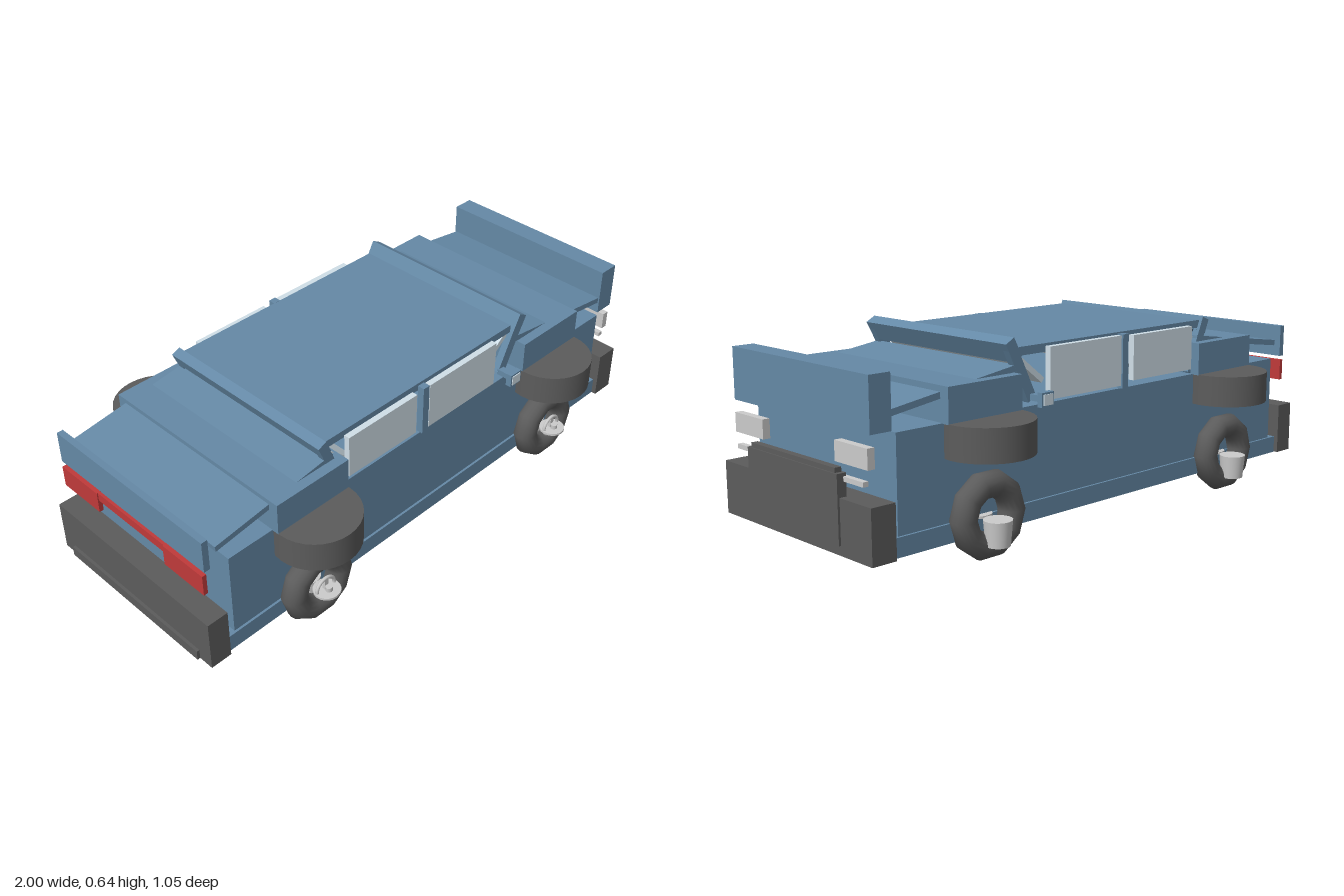
import * as THREE from 'three';

const mat = (color) => new THREE.MeshStandardMaterial({ color });
const blue = mat(0x6589a6), dark = mat(0x5c5c5c), grey = mat(0xcccccc), glass = mat(0xd0dfe8), red = mat(0xc03a3a);

export function createModel() {
  const car = new THREE.Group();
  car.name = 'car';

  const add = (name, geometry, material, x, y, z, parent = car) => {
    const mesh = new THREE.Mesh(geometry, material);
    mesh.name = name;
    mesh.position.set(x, y, z);
    parent.add(mesh);
    return mesh;
  };
  // box given by its limits on each axis
  const box = (name, material, [x0, x1], [y0, y1], [z0, z1], parent) =>
    add(name, new THREE.BoxGeometry(x1 - x0, y1 - y0, z1 - z0), material,
      (x0 + x1) / 2, (y0 + y1) / 2, (z0 + z1) / 2, parent);
  // sloped slab running between two points of the side profile
  const slab = (name, material, [xa, ya], [xb, yb], thick, width, z = 0) => {
    const mesh = add(name, new THREE.BoxGeometry(Math.hypot(xb - xa, yb - ya), thick, width),
      material, (xa + xb) / 2, (ya + yb) / 2, z);
    mesh.rotation.z = Math.atan2(yb - ya, xb - xa);
  };

  // lower body
  box('body', blue, [-0.88, 0.88], [0.08, 0.43], [-0.35, 0.35]);
  box('sill', blue, [-0.91, 0.91], [0.07, 0.13], [-0.358, 0.358]);

  // nose
  box('frontBumper', dark, [0.905, 0.99], [0.07, 0.24], [-0.375, 0.375]);
  box('grille', dark, [0.965, 0.997], [0.1, 0.31], [-0.23, 0.23]);
  box('grilleTop', dark, [0.97, 0.993], [0.31, 0.325], [-0.215, 0.215]);
  box('nosePanel', blue, [0.89, 0.965], [0.435, 0.602], [-0.345, 0.345]);

  // tail
  box('rearBumper', dark, [-0.99, -0.915], [0.07, 0.25], [-0.37, 0.37]);
  box('rearBumperStep', dark, [-1, -0.985], [0.07, 0.105], [-0.315, 0.315]);
  box('tailPanel', blue, [-0.965, -0.943], [0.432, 0.545], [-0.345, 0.345]);
  box('tailLightStrip', red, [-0.966, -0.956], [0.385, 0.415], [-0.18, 0.18]);

  // lids
  slab('hood', blue, [0.89, 0.485], [0.41, 0.552], 0.02, 0.68);
  slab('trunkLid', blue, [-0.915, 0.485], [-0.45, 0.55], 0.02, 0.68);

  // roof and screens
  box('roof', blue, [-0.475, 0.39], [0.585, 0.612], [-0.33, 0.33]);
  slab('windshield', glass, [0.28, 0.495], [0.395, 0.585], 0.018, 0.64);
  slab('rearWindow', glass, [-0.33, 0.445], [-0.455, 0.55], 0.018, 0.64);
  slab('windshieldHeader', blue, [0.407, 0.578], [0.439, 0.637], 0.038, 0.684);
  slab('rearHeader', blue, [-0.476, 0.572], [-0.495, 0.617], 0.034, 0.684);

  for (const s of [1, -1]) {
    const sideZ = (a, b) => (s > 0 ? [a, b] : [-b, -a]);
    // lights
    box('headlight', grey, [0.945, 0.97], [0.335, 0.397], sideZ(0.184, 0.338));
    box('foglight', grey, [0.957, 0.975], [0.285, 0.3], sideZ(0.2, 0.322));
    box('tailLight', red, [-0.97, -0.955], [0.34, 0.415], sideZ(0.16, 0.34));
    // cabin sides
    box('rearSideWindow', glass, [-0.4, -0.1], [0.45, 0.6], sideZ(0.337, 0.358));
    box('frontSideWindow', glass, [-0.04, 0.285], [0.44, 0.605], sideZ(0.337, 0.358));
    box('centrePillar', blue, [-0.072, -0.045], [0.43, 0.608], sideZ(0.335, 0.36));
    slab('windshieldPillar', blue, [0.345, 0.447], [0.432, 0.624], 0.037, 0.025, s * 0.328);
    slab('rearPillar', blue, [-0.42, 0.432], [-0.492, 0.61], 0.033, 0.025, s * 0.328);
    // mirrors
    box('mirrorStalk', blue, [0.33, 0.355], [0.445, 0.465], sideZ(0.335, 0.39));
    box('mirror', blue, [0.317, 0.368], [0.432, 0.478], sideZ(0.385, 0.406));
    box('mirrorGlass', glass, [0.323, 0.362], [0.438, 0.472], sideZ(0.405, 0.409));
  }

  for (const x of [-0.565, 0.565]) {
    // raised deck across the body above each axle
    box('fenderDeck', blue, [x - 0.145, x + 0.145], [0.428, 0.539], [-0.375, 0.375]);

    for (const s of [1, -1]) {
      // half-round arch over each wheel
      add('wheelArch', new THREE.CylinderGeometry(0.145, 0.145, 0.105, 32), dark, x, 0.3775, s * 0.38);

      // wheel, the same way round on both sides
      const wheel = new THREE.Group();
      wheel.name = 'wheel';
      wheel.position.set(x, 0.135, s * 0.377);
      car.add(wheel);
      add('tyre', new THREE.TorusGeometry(0.096, 0.0425, 16, 10), dark, 0, 0, 0, wheel);
      add('hubCup', new THREE.CylinderGeometry(0.045, 0.038, 0.08, 20), grey, 0, -0.045, -0.045, wheel);
      add('hubDisc', new THREE.CylinderGeometry(0.045, 0.045, 0.008, 20), grey, 0, -0.007, 0.046, wheel);
      add('hubPost', new THREE.CylinderGeometry(0.012, 0.012, 0.035, 10), grey, 0, -0.005, 0.055, wheel);
      add('hubRim', new THREE.TorusGeometry(0.037, 0.006, 8, 20), grey, 0, 0, 0.04, wheel);
      box('hubSpoke', grey, [-0.008, 0.008], [-0.035, 0.035], [0.034, 0.045], wheel);
    }
  }
  return car;
}
